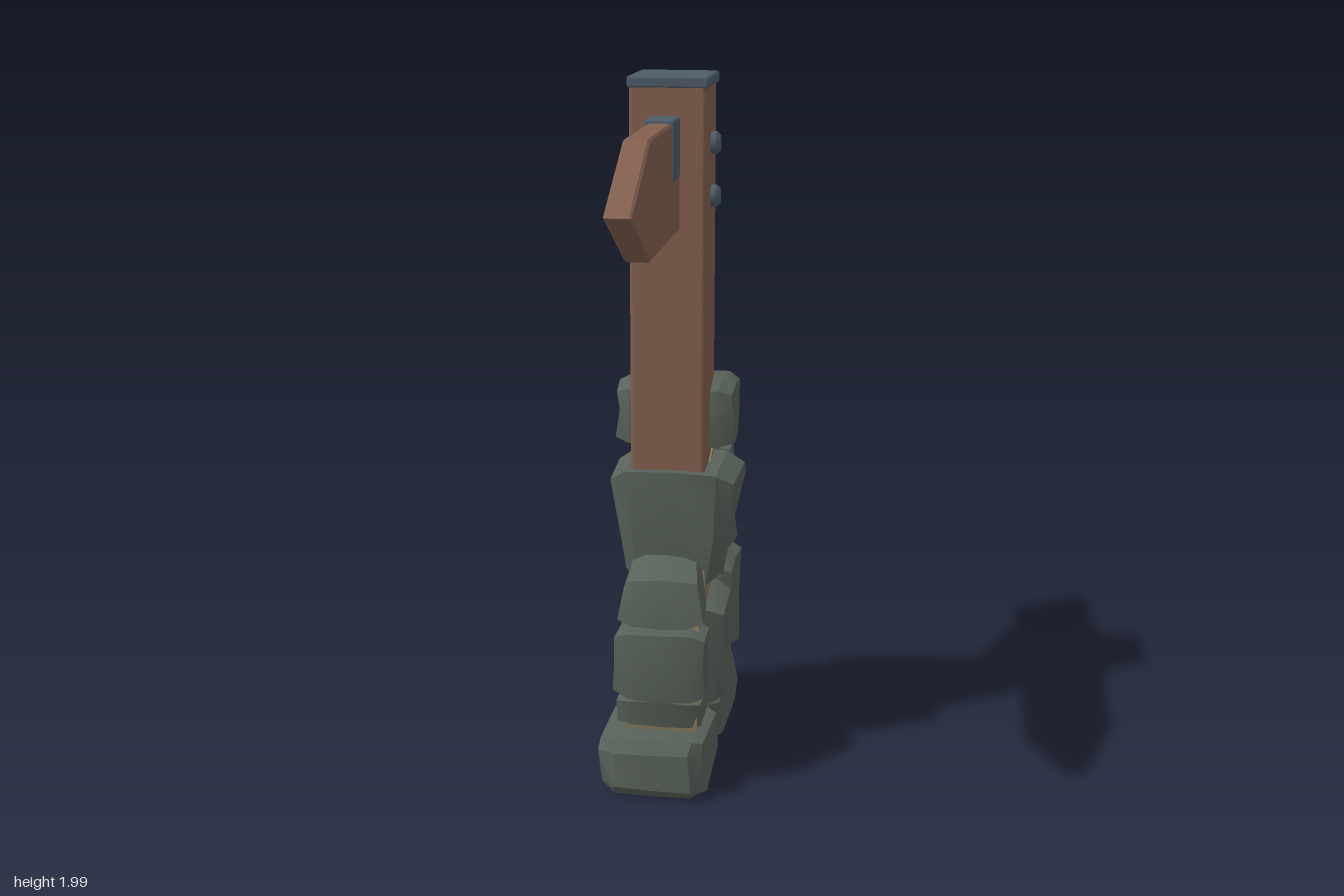
import * as THREE from 'three';
import { toCreasedNormals } from 'three/addons/utils/BufferGeometryUtils.js';
import { RoundedBoxGeometry } from 'three/addons/geometries/RoundedBoxGeometry.js';

const material = (name, color) => {
  const m = new THREE.MeshStandardMaterial({ color });
  m.name = name;
  return m;
};

export function createModel() {
  const group = new THREE.Group();
  const wood = material('wood', 0x83604e);
  const iron = material('iron', 0x4e5c69);
  const stone = material('stone', 0x58625a);
  const mortar = material('mortar', 0x857a5c);

  let seed = 7;
  const rand = () => {
    seed = (seed * 16807) % 2147483647;
    return seed / 2147483647 - 0.5;
  };

  const add = (name, geometry, mat) => {
    const mesh = new THREE.Mesh(geometry, mat);
    mesh.name = name;
    group.add(mesh);
    return mesh;
  };

  // Box with softened edges, given by its two corners
  const block = (name, a, b, r, mat) => {
    const size = a.map((v, i) => b[i] - v);
    const mesh = add(name, new RoundedBoxGeometry(...size, 1, r), mat);
    mesh.position.set(...a.map((v, i) => (v + b[i]) / 2));
  };

  // Side profile in (z, y), extruded across x from x0 to x1
  const slab = (name, points, x0, x1, bevel, mat) => {
    const shape = new THREE.Shape(points.map(p => new THREE.Vector2(...p)));
    const geo = new THREE.ExtrudeGeometry(shape, {
      depth: x1 - x0 - 2 * bevel, bevelEnabled: bevel > 0, bevelThickness: bevel,
      bevelSize: bevel, bevelOffset: -bevel, bevelSegments: 1,
    });
    geo.rotateY(-Math.PI / 2).translate(x1 - bevel, 0, 0);
    add(name, geo, mat);
  };

  // Rough stone: (z, y) outline lofted across x, with chamfered ends and uneven faces
  const rock = (name, outline, x0, x1, taper = 0) => {
    const n = outline.length;
    const cz = outline.reduce((s, p) => s + p[0], 0) / n;
    const cy = outline.reduce((s, p) => s + p[1], 0) / n;
    const ys = outline.map(p => p[1]);
    const h = Math.max(...ys) - Math.min(...ys);
    const rings = [[x0, 0.8], [x0 + 0.04, 0.97], [(x0 + x1) / 2, 1], [x1 - 0.04, 0.98], [x1, 0.82]];
    const pos = [], index = [];
    rings.forEach(([x, s]) => outline.forEach(([z, y]) => {
      const widen = 1 + taper * (y - cy) / h;
      pos.push((x + rand() * 0.016) * widen,
        Math.max(0.005, cy + (y - cy) * s + rand() * 0.006),
        cz + (z - cz) * s + rand() * 0.006);
    }));
    pos.push(x0 - 0.004, cy, cz, x1 + 0.004, cy, cz);
    const lo = rings.length * n, hi = lo + 1, last = (rings.length - 1) * n;
    for (let i = 0; i < n; i++) {
      const j = (i + 1) % n;
      for (let r = 0; r < rings.length - 1; r++) {
        const a = r * n + i, b = r * n + j, c = a + n, d = b + n;
        index.push(a, c, b, c, d, b);
      }
      index.push(lo, i, j, hi, last + j, last + i);
    }
    const geo = new THREE.BufferGeometry();
    geo.setAttribute('position', new THREE.Float32BufferAttribute(pos, 3));
    geo.setIndex(index);
    add(name, toCreasedNormals(geo, 0.5), stone);
  };

  // Post and metal cap
  block('post', [-0.115, 0.85, -0.275], [0.095, 1.98, -0.065], 0.012, wood);
  block('postCap', [-0.12, 1.968, -0.283], [0.102, 2, -0.062], 0.008, iron);

  // Arrow board and its diagonal brace
  slab('arrowBoard', [[-0.67, 1.59], [0.405, 1.59], [0.672, 1.74], [0.405, 1.89], [-0.67, 1.89]],
    -0.043, 0.024, 0.006, wood);
  slab('brace', [[-0.26, 1.34], [-0.275, 1.35], [-0.55, 1.595], [-0.445, 1.595], [-0.26, 1.437]].reverse(),
    -0.033, 0.014, 0, wood);

  // Straps around the board
  for (const z of [0.015, -0.365]) {
    block('strap', [-0.051, 1.74, z - 0.05], [0.031, 1.9, z + 0.05], 0.008, iron);
  }

  // Bolts on the left face of the post
  for (const y of [1.815, 1.67]) {
    const profile = [[0, -0.01], [0.031, -0.01], [0.031, 0.015], [0.022, 0.024], [0, 0.024]];
    const geo = new THREE.LatheGeometry(profile.map(p => new THREE.Vector2(...p)), 12);
    const bolt = add('bolt', toCreasedNormals(geo, 0.6), iron);
    bolt.rotation.z = -Math.PI / 2;
    bolt.position.set(0.095, y, -0.182);
  }

  // Mortar core between the stones
  slab('mortarCore', [[0.14, 0.015], [-0.52, 0.015], [-0.52, 0.18], [-0.5, 0.5], [-0.46, 0.9],
    [-0.4, 0.97], [-0.28, 0.96], [-0.07, 0.88], [-0.05, 0.58], [0.05, 0.53], [0.095, 0.3], [0.09, 0.17]].reverse(),
    -0.105, 0.1, 0, mortar);

  // Stones of the base, bottom to top
  rock('frontFootStone', [[0.19, 0.15], [0.165, 0.185], [-0.115, 0.178], [-0.15, 0.12], [-0.14, 0.03], [0.165, 0.01], [0.19, 0.04]], -0.165, 0.13);
  rock('backFootStone', [[-0.155, 0.15], [-0.285, 0.225], [-0.44, 0.22], [-0.55, 0.175], [-0.59, 0.05], [-0.495, 0.01], [-0.18, 0.02]], -0.165, 0.135);
  rock('frontLowStone', [[0.11, 0.275], [-0.055, 0.278], [-0.08, 0.18], [0.095, 0.193]], -0.125, 0.11);
  rock('frontMiddleStone', [[0.125, 0.487], [-0.01, 0.487], [-0.04, 0.41], [-0.03, 0.287], [0.13, 0.287], [0.14, 0.385]], -0.135, 0.12);
  rock('frontHighStone', [[0.075, 0.63], [-0.01, 0.675], [-0.03, 0.64], [-0.028, 0.52], [0.1, 0.495], [0.095, 0.56]], -0.115, 0.105, -0.3);
  rock('centreStone', [[-0.04, 0.505], [-0.205, 0.535], [-0.295, 0.508], [-0.298, 0.24], [-0.155, 0.165], [-0.105, 0.175], [-0.055, 0.38]], -0.145, 0.15);
  rock('backLowStone', [[-0.32, 0.525], [-0.4, 0.56], [-0.52, 0.555], [-0.555, 0.44], [-0.55, 0.23], [-0.47, 0.205], [-0.308, 0.265]], -0.145, 0.15);
  rock('chinkStone', [[-0.265, 0.585], [-0.328, 0.575], [-0.312, 0.505], [-0.255, 0.52]], -0.12, 0.12);
  rock('postSeatStone', [[-0.04, 0.91], [-0.255, 0.922], [-0.3, 0.88], [-0.272, 0.65], [-0.22, 0.543], [-0.06, 0.57], [-0.035, 0.72]], -0.155, 0.165, 0.28);
  rock('backMiddleStone', [[-0.305, 0.755], [-0.47, 0.77], [-0.515, 0.68], [-0.508, 0.56], [-0.4, 0.555], [-0.295, 0.592]], -0.145, 0.135);
  rock('backHighStone', [[-0.315, 0.907], [-0.4, 0.93], [-0.48, 0.93], [-0.497, 0.8], [-0.44, 0.772], [-0.312, 0.782]], -0.14, 0.13);
  rock('backTopStone', [[-0.18, 1.115], [-0.255, 1.14], [-0.42, 1.115], [-0.435, 0.965], [-0.31, 0.935], [-0.18, 0.945], [-0.165, 1.05]], -0.175, 0.16);

  return group;
}
